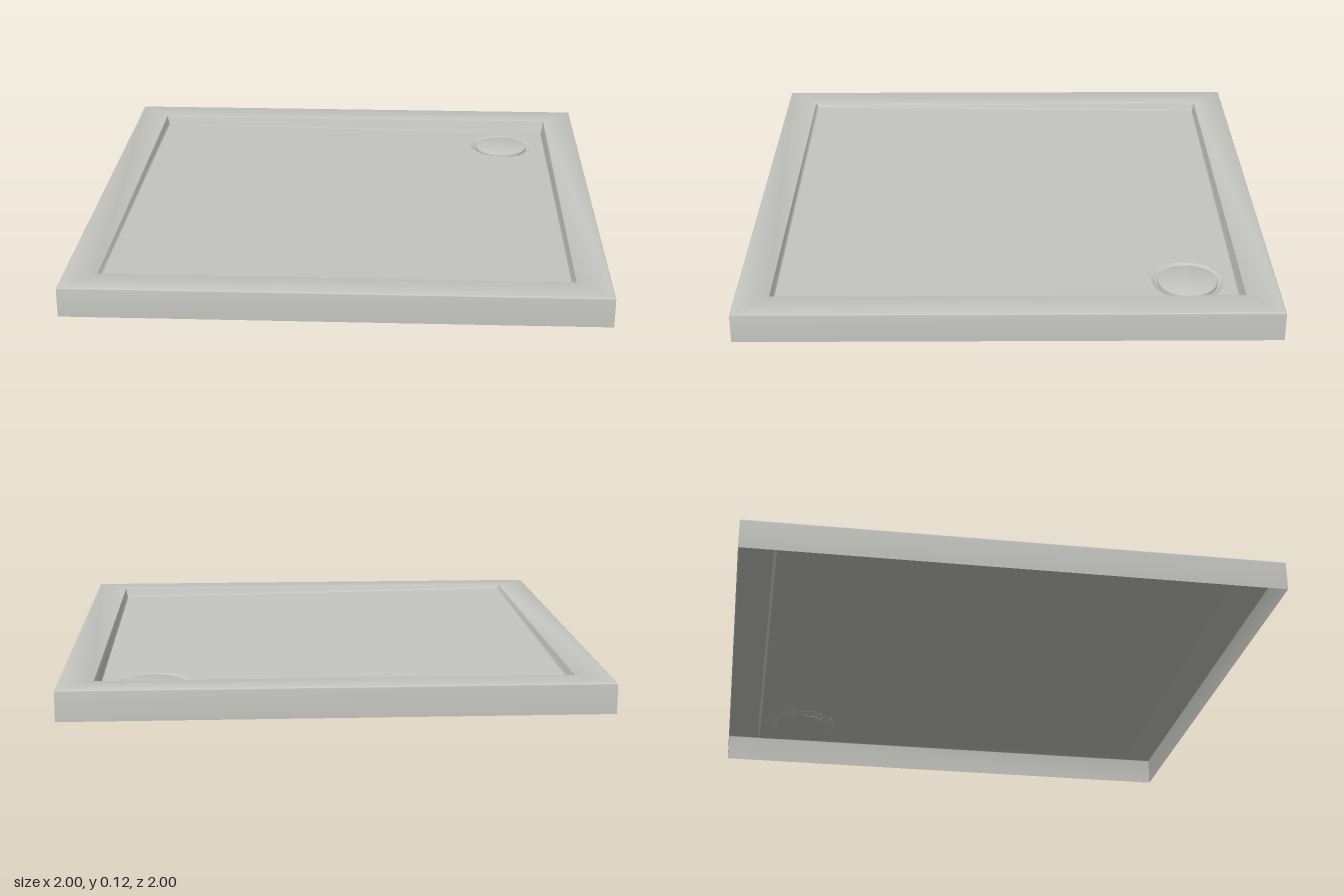
import * as THREE from 'three';
import { toCreasedNormals } from 'three/addons/utils/BufferGeometryUtils.js';

const HEIGHT = 0.115;
const RIM = 0.875;     // half width of the basin opening
const FLOOR = 0.862;   // half width of the basin floor
const DRAIN = { x: 0.67, z: -0.68, radius: 0.113, dish: 0.138 };

// The floor falls gently towards the drain corner
const floorY = (x, z) => HEIGHT - 0.038 - 0.0138 * (x - z);

// Square rings joined along a profile of [half width, height, blend to floor]
function squareLoft(profile) {
  const corners = [[-1, 1], [1, 1], [1, -1], [-1, -1]];
  const point = ([h, y, blend = 0], [sx, sz]) => {
    const x = sx * h, z = sz * h;
    return [x, THREE.MathUtils.lerp(y, floorY(x, z), blend), z];
  };
  const positions = [];
  for (let i = 0; i < profile.length - 1; i++) {
    for (let k = 0; k < 4; k++) {
      const from = corners[k], to = corners[(k + 1) % 4];
      const a = point(profile[i], from), b = point(profile[i], to);
      const c = point(profile[i + 1], to), d = point(profile[i + 1], from);
      positions.push(...a, ...b, ...c, ...a, ...c, ...d);
    }
  }
  const geometry = new THREE.BufferGeometry();
  geometry.setAttribute('position', new THREE.Float32BufferAttribute(positions, 3));
  geometry.computeVertexNormals();
  return toCreasedNormals(geometry, 0.6);
}

// Quarter round from a vertical face into the top; side is 1 outside, -1 inside
function roundedEdge(half, radius, side) {
  const points = [];
  for (let i = 0; i <= 4; i++) {
    const a = (i / 4) * Math.PI / 2;
    points.push([half - side * radius * (1 - Math.cos(a)), HEIGHT - radius * (1 - Math.sin(a))]);
  }
  return side > 0 ? points : points.reverse();
}

// Move a geometry's vertices so that height 0 lies on the sloping floor
function layOnFloor(geometry, dx = 0, dz = 0) {
  geometry.translate(dx, 0, dz);
  const p = geometry.attributes.position;
  for (let i = 0; i < p.count; i++) p.setY(i, p.getY(i) + floorY(p.getX(i), p.getZ(i)));
  geometry.computeVertexNormals();
  return geometry;
}

export function createModel() {
  const group = new THREE.Group();
  group.name = 'showerTray';
  const enamel = new THREE.MeshStandardMaterial({ color: 0xc4c4c0, side: THREE.DoubleSide });
  enamel.name = 'pale grey enamel';

  const add = (name, geometry) => {
    const mesh = new THREE.Mesh(geometry, enamel);
    mesh.name = name;
    group.add(mesh);
    return mesh;
  };

  // Outer skirt, flat rim and basin wall, open underneath
  add('skirtAndRim', squareLoft([
    [1, 0],
    ...roundedEdge(1, 0.006, 1),
    ...roundedEdge(RIM - 0.004, 0.004, -1),
    [FLOOR + 0.004, HEIGHT, 0.85],
    [FLOOR, HEIGHT, 1],
  ]));

  // Basin floor with a round opening for the drain
  const floor = new THREE.Shape();
  floor.moveTo(-FLOOR, -FLOOR);
  floor.lineTo(FLOOR, -FLOOR);
  floor.lineTo(FLOOR, FLOOR);
  floor.lineTo(-FLOOR, FLOOR);
  floor.closePath();
  const hole = new THREE.Path();
  hole.absarc(DRAIN.x, -DRAIN.z, DRAIN.dish, 0, Math.PI * 2, true);
  floor.holes.push(hole);
  add('basinFloor', layOnFloor(new THREE.ShapeGeometry(floor, 48).rotateX(-Math.PI / 2)));

  // Shallow dish around the drain
  const dish = [[DRAIN.dish, 0], [0.132, -0.002], [0.124, -0.008], [0.117, -0.012], [0.11, -0.013], [0, -0.013]]
    .map(([r, y]) => new THREE.Vector2(r, y));
  add('drainDish', layOnFloor(new THREE.LatheGeometry(dish, 48), DRAIN.x, DRAIN.z));

  // Drain cover with a softened edge
  const cover = [[DRAIN.radius, -0.012], [DRAIN.radius, 0.001], [0.112, 0.003], [0.109, 0.004], [0, 0.004]]
    .map(([r, y]) => new THREE.Vector2(r, y));
  const coverGeometry = toCreasedNormals(new THREE.LatheGeometry(cover, 48), 0.9);
  add('drainCover', coverGeometry).position.set(DRAIN.x, floorY(DRAIN.x, DRAIN.z), DRAIN.z);

  return group;
}
